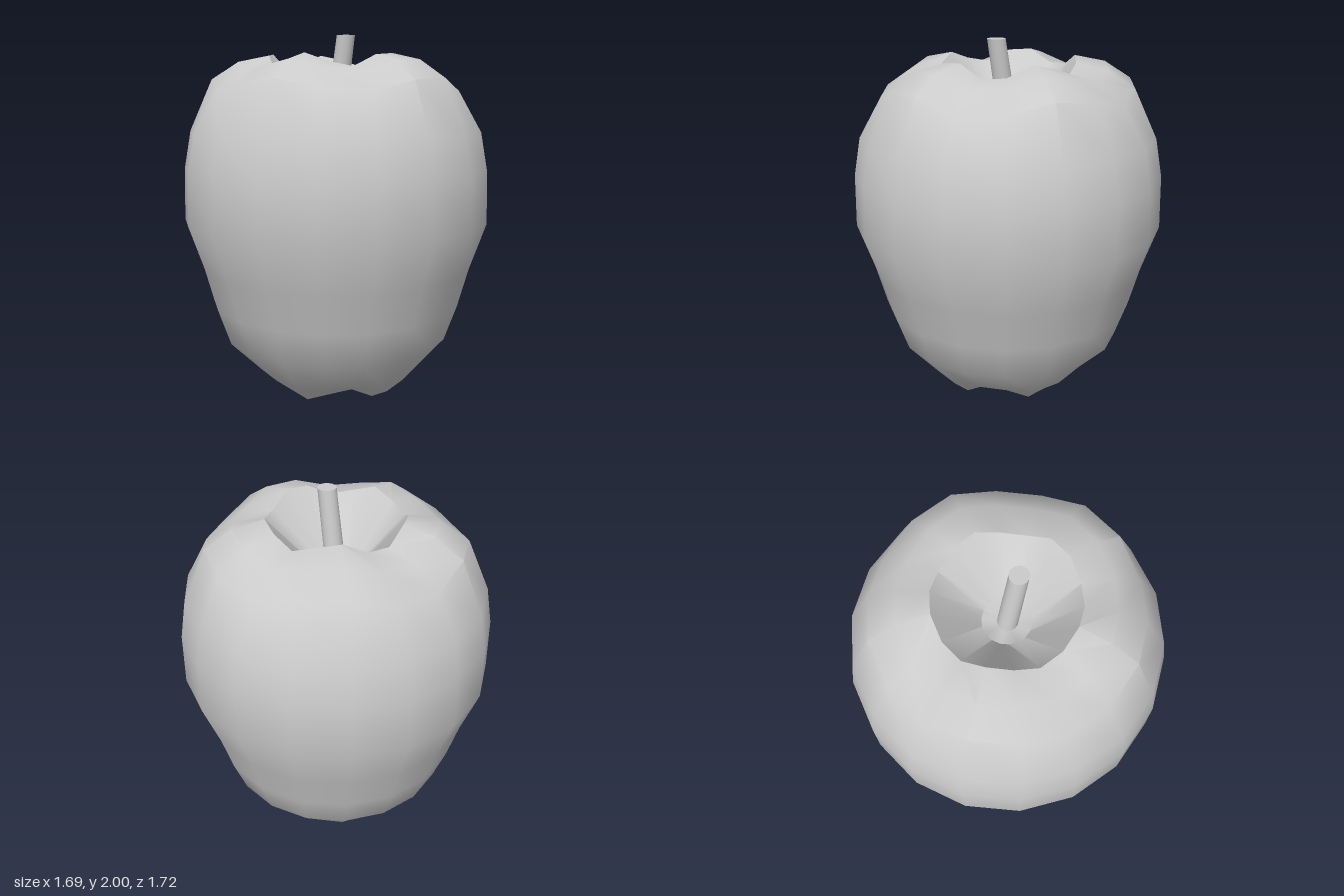
import * as THREE from 'three';
import { toCreasedNormals } from 'three/addons/utils/BufferGeometryUtils.js';

const SIDES = 18;

// Profile from the base hollow, over the shoulder, into the stem hollow:
// radius, height, and how much the five lobes lift or lower the ring.
const PROFILE = [
  [0, 0.22, 0], [0.36, 0.035, -0.035], [0.46, 0.105, -0.015], [0.64, 0.3, 0],
  [0.71, 0.5, 0], [0.77, 0.72, 0], [0.86, 0.98, 0], [0.853, 1.27, 0],
  [0.815, 1.48, 0], [0.69, 1.735, 0.035], [0.54, 1.835, 0.03],
  [0.37, 1.865, 0.035], [0.13, 1.6, 0], [0, 1.58, 0],
];

function fruitBody() {
  const points = PROFILE.map(([r, y]) => new THREE.Vector2(r, y));
  const geometry = new THREE.LatheGeometry(points, SIDES);
  const position = geometry.attributes.position;
  const rings = PROFILE.length;
  // Five lobes around the crown and the base
  for (let i = 0; i < position.count; i++) {
    const side = Math.floor(i / rings) % SIDES;
    const angle = (side / SIDES) * Math.PI * 2;
    const wave = 1.5 * Math.cos(5 * (angle - Math.PI / 9));
    const lobe = THREE.MathUtils.clamp(wave, -1, 1);
    position.setY(i, position.getY(i) + PROFILE[i % rings][2] * lobe);
  }
  return toCreasedNormals(geometry, 0.7);
}

function leaningStem() {
  const bottom = 1.56, top = 2;
  const geometry = new THREE.CylinderGeometry(0.05, 0.055, top - bottom, 16);
  geometry.translate(0, (top + bottom) / 2, 0);
  // Shear towards +x, keeping the tip level
  const position = geometry.attributes.position;
  for (let i = 0; i < position.count; i++) {
    position.setX(i, position.getX(i) + (position.getY(i) - bottom) * 0.18);
  }
  return toCreasedNormals(geometry, 0.7);
}

export function createModel() {
  const group = new THREE.Group();
  group.name = 'apple';
  const material = new THREE.MeshStandardMaterial({ color: 0xcccccc });
  for (const [name, geometry] of [['fruitBody', fruitBody()], ['stem', leaningStem()]]) {
    const mesh = new THREE.Mesh(geometry, material);
    mesh.name = name;
    group.add(mesh);
  }
  return group;
}
